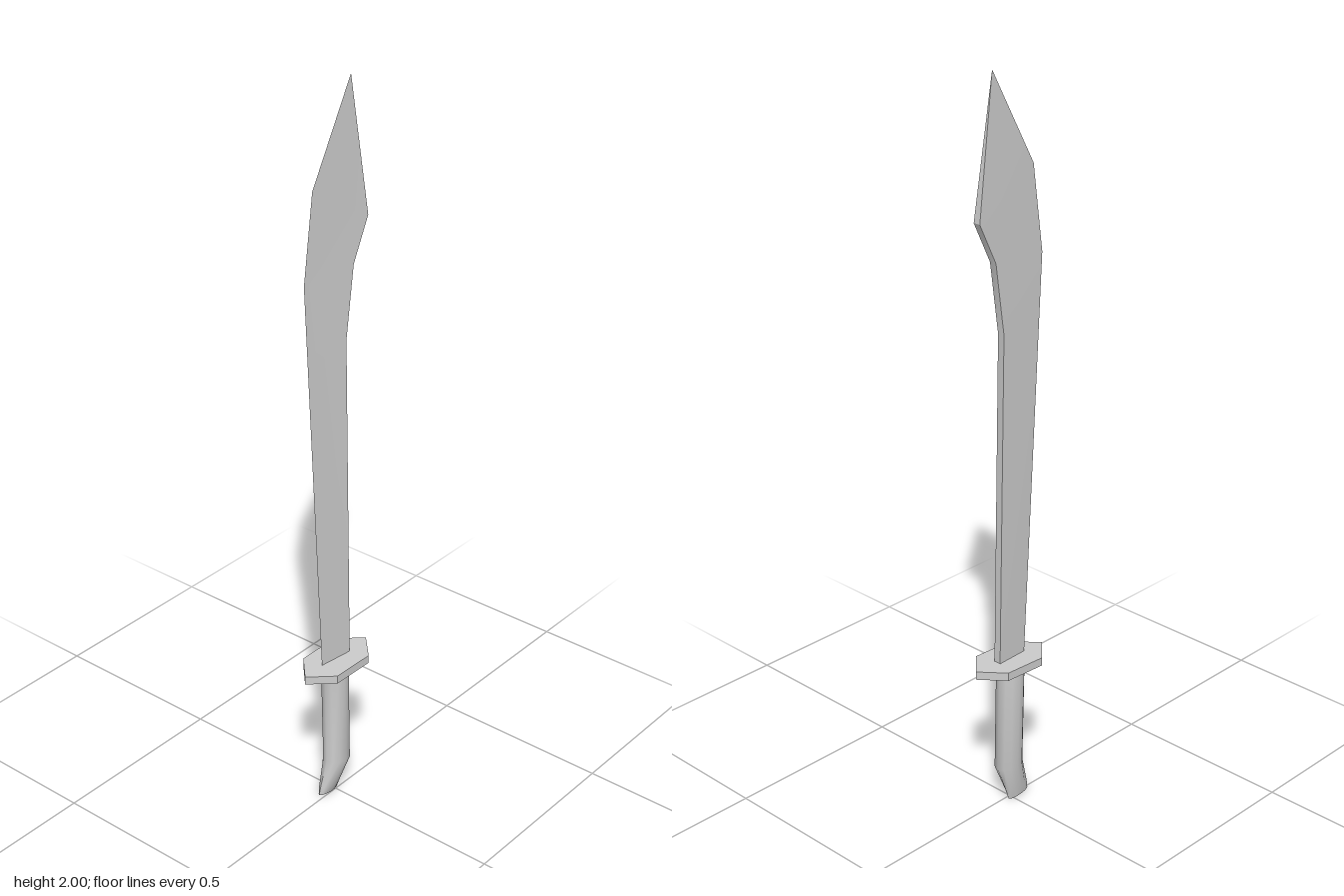
import * as THREE from 'three';
import { toCreasedNormals } from 'three/addons/utils/BufferGeometryUtils.js';

// Skins a list of equal-sized point rings (anticlockwise seen from above, bottom to top) and caps the ends
function loft(rings, crease) {
  const n = rings[0].length, pos = [];
  const tri = (...pts) => pts.forEach(p => pos.push(...p));
  for (let r = 0; r < rings.length - 1; r++) {
    for (let i = 0; i < n; i++) {
      const j = (i + 1) % n;
      const a = rings[r][i], b = rings[r][j], c = rings[r + 1][j], d = rings[r + 1][i];
      tri(a, b, c);
      tri(a, c, d);
    }
  }
  const bottom = rings[0], top = rings[rings.length - 1];
  for (let i = 1; i < n - 1; i++) {
    tri(bottom[0], bottom[i + 1], bottom[i]);
    tri(top[0], top[i], top[i + 1]);
  }
  const geometry = new THREE.BufferGeometry();
  geometry.setAttribute('position', new THREE.Float32BufferAttribute(pos, 3));
  geometry.computeVertexNormals();
  return crease ? toCreasedNormals(geometry, crease) : geometry;
}

export function createModel() {
  const group = new THREE.Group();
  const steel = new THREE.MeshStandardMaterial({ color: 0xcccccc, side: THREE.DoubleSide });
  const add = (name, geometry) => {
    const mesh = new THREE.Mesh(geometry, steel);
    mesh.name = name;
    group.add(mesh);
  };

  // Blade: wedge sections, sharp towards +z
  // [edge y, edge z, edge x, spine y, spine z, spine x, spine half width]
  const sections = [
    [0.41, 0.05, -0.004, 0.41, -0.045, 0.001, 0.010],
    [1.30, 0.09, -0.012, 1.34, -0.034, -0.004, 0.010],
    [1.52, 0.10, -0.014, 1.53, -0.062, -0.005, 0.010],
    [1.75, 0.068, -0.014, 1.64, -0.116, -0.005, 0.010],
    [2.00, -0.07, -0.012, 2.00, -0.07, -0.012, 0],
  ];
  add('blade', loft(sections.map(([ey, ez, ex, sy, sz, sx, w]) => [
    [ex, ey, ez], [sx + w, sy, sz], [sx - w, sy, sz],
  ]), 0.4));

  // Guard: six-sided plate, tilted a little
  const outline = [[-0.005, 0.118], [0.058, 0.062], [0.063, -0.06],
    [0.005, -0.12], [-0.058, -0.065], [-0.063, 0.057]];
  add('guard', loft([0.405, 0.428].map(y =>
    outline.map(([x, z]) => [x, y - z * 0.025, z])), 0.3));

  // Grip: oval column whose pommel narrows and kicks forward
  // [y, centre x, centre z, radius x, radius z, slope along z]
  const levels = [
    [0.006, -0.009, 0.023, 0.011, 0.036, 0.1],
    [0.03, -0.007, 0.018, 0.018, 0.037, 0.1],
    [0.11, -0.001, -0.005, 0.034, 0.041, 0.1],
    [0.41, -0.002, 0.001, 0.035, 0.041, 0],
  ];
  const sides = 12;
  add('grip', loft(levels.map(([y, cx, cz, rx, rz, slope]) =>
    Array.from({ length: sides }, (_, i) => {
      const a = (i / sides) * Math.PI * 2;
      const dz = Math.cos(a) * rz;
      return [cx + Math.sin(a) * rx, y + (dz + rz) * slope - 0.006, cz + dz];
    })), 0.9));

  return group;
}
